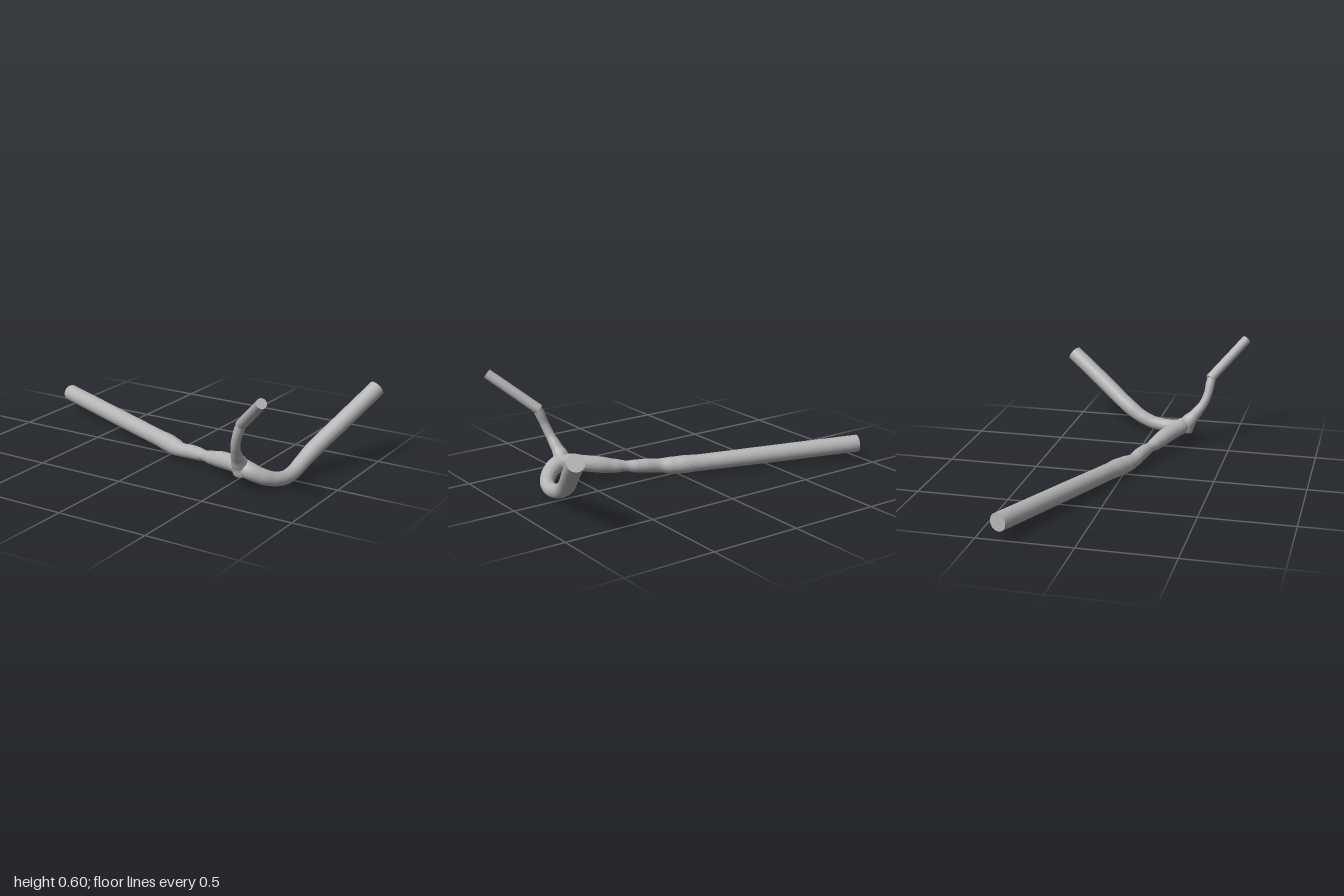
import * as THREE from 'three';

const SIDES = 24;

// Smooth closed tube through stations [x, y, z, radius]
function vessel(name, stations, steps, material) {
  const group = new THREE.Group();
  group.name = name;
  const curve = new THREE.CatmullRomCurve3(
    stations.map(([x, y, z]) => new THREE.Vector3(x, y, z)), false, 'centripetal');
  const radiusAt = (t) => {
    const f = t * (stations.length - 1);
    const i = Math.min(Math.floor(f), stations.length - 2);
    return THREE.MathUtils.lerp(stations[i][3], stations[i + 1][3],
      THREE.MathUtils.smoothstep(f - i, 0, 1));
  };

  // Cross-section rings carried along the path without twisting
  const positions = [];
  const index = [];
  const normal = new THREE.Vector3(0.5, 0.3, -0.8);
  for (let i = 0; i <= steps; i++) {
    const t = i / steps;
    const centre = curve.getPoint(t);
    const tangent = curve.getTangent(t);
    normal.addScaledVector(tangent, -normal.dot(tangent)).normalize();
    const side = new THREE.Vector3().crossVectors(tangent, normal);
    for (let j = 0; j < SIDES; j++) {
      const a = (j / SIDES) * Math.PI * 2;
      const p = centre.clone()
        .addScaledVector(normal, Math.cos(a) * radiusAt(t))
        .addScaledVector(side, Math.sin(a) * radiusAt(t));
      positions.push(p.x, p.y, p.z);
      if (i < steps) {
        const k = (j + 1) % SIDES;
        const a0 = i * SIDES + j, a1 = i * SIDES + k;
        index.push(a0, a1, a0 + SIDES, a1, a1 + SIDES, a0 + SIDES);
      }
    }
  }
  const geometry = new THREE.BufferGeometry();
  geometry.setAttribute('position', new THREE.Float32BufferAttribute(positions, 3));
  geometry.setIndex(index);
  geometry.computeVertexNormals();
  const wall = new THREE.Mesh(geometry, material);
  wall.name = name + 'Wall';
  group.add(wall);

  // Flat cut ends
  for (const t of [0, 1]) {
    const cap = new THREE.Mesh(new THREE.CircleGeometry(radiusAt(t), SIDES), material);
    cap.name = name + 'End';
    cap.position.copy(curve.getPoint(t));
    cap.quaternion.setFromUnitVectors(new THREE.Vector3(0, 0, 1),
      curve.getTangent(t).multiplyScalar(t ? 1 : -1));
    group.add(cap);
  }
  return group;
}

export function createModel() {
  const model = new THREE.Group();
  model.name = 'branchingVessel';
  const grey = new THREE.MeshStandardMaterial({ color: 0xb4b4b4 });
  grey.name = 'grey';

  // Long straight inlet, lumpy middle, then the large bent branch
  model.add(vessel('mainVessel', [
    [-0.982, 0.093, -0.387, 0.048],
    [-0.55, 0.075, -0.222, 0.048],
    [-0.12, 0.058, -0.058, 0.046],
    [-0.04, 0.056, -0.026, 0.049],
    [0.02, 0.054, 0.003, 0.047],
    [0.09, 0.057, 0.037, 0.038],
    [0.16, 0.065, 0.053, 0.038],
    [0.21, 0.069, 0.067, 0.036],
    [0.265, 0.075, 0.088, 0.029],
    [0.33, 0.082, 0.112, 0.038],
    [0.40, 0.095, 0.14, 0.044],
    [0.48, 0.108, 0.18, 0.044],
    [0.55, 0.118, 0.217, 0.046],
    [0.61, 0.11, 0.235, 0.046],
    [0.67, 0.083, 0.21, 0.042],
    [0.715, 0.06, 0.16, 0.038],
    [0.743, 0.05, 0.09, 0.037],
    [0.752, 0.058, 0.01, 0.038],
    [0.76, 0.09, -0.07, 0.04],
    [0.782, 0.138, -0.15, 0.044],
    [0.865, 0.265, -0.335, 0.045],
    [0.954, 0.402, -0.537, 0.045],
  ], 168, grey));

  // Thin rising branch, flared where it leaves the fork
  model.add(vessel('smallBranch', [
    [0.575, 0.10, 0.228, 0.052],
    [0.572, 0.145, 0.255, 0.042],
    [0.578, 0.19, 0.292, 0.031],
    [0.592, 0.25, 0.335, 0.025],
    [0.61, 0.31, 0.358, 0.024],
    [0.628, 0.36, 0.366, 0.026],
    [0.643, 0.395, 0.372, 0.025],
  ], 48, grey));

  // Straight tip starting with a blunt end at the elbow
  model.add(vessel('smallBranchTip', [
    [0.636, 0.39, 0.362, 0.028],
    [0.845, 0.582, 0.54, 0.027],
  ], 4, grey));

  return model;
}
